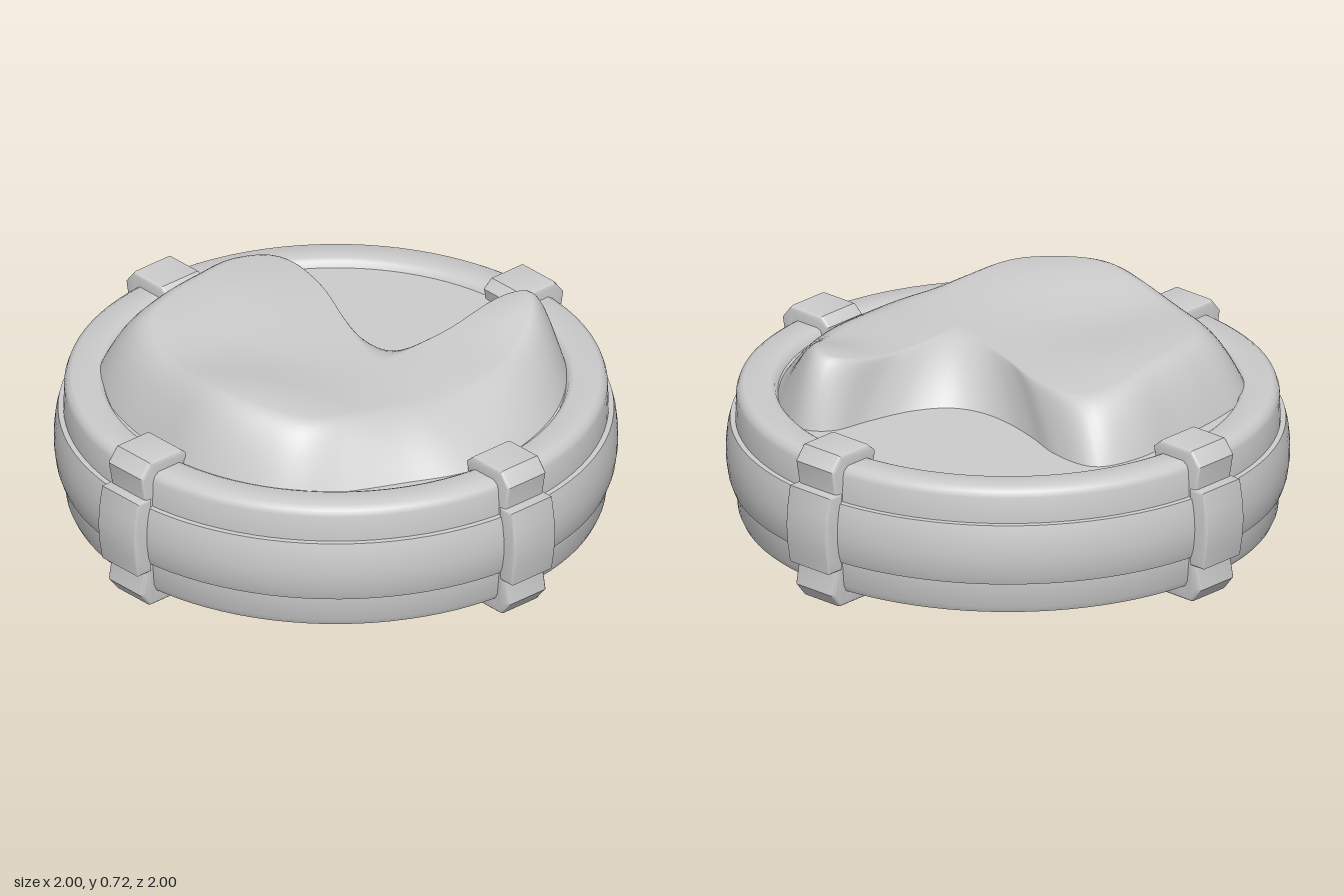
import * as THREE from 'three';
import { mergeVertices, toCreasedNormals } from 'three/addons/utils/BufferGeometryUtils.js';

const material = new THREE.MeshStandardMaterial({ color: 0xcccccc });

function addMesh(parent, name, geometry) {
  const mesh = new THREE.Mesh(geometry, material);
  mesh.name = name;
  parent.add(mesh);
  return mesh;
}

// Revolved profile of [radius, y] points, listed from bottom to top
function lathe(points) {
  const geo = new THREE.LatheGeometry(points.map(([r, y]) => new THREE.Vector2(r, y)), 96);
  return toCreasedNormals(geo, 0.75);
}

// Side profile of [radius, y] points, extruded to a bevelled strip
function strip(points, width, bevel) {
  const shape = new THREE.Shape(points.map(([r, y]) => new THREE.Vector2(r, y)));
  const geo = new THREE.ExtrudeGeometry(shape, {
    depth: width - 2 * bevel, bevelEnabled: true, bevelThickness: bevel,
    bevelSize: bevel, bevelOffset: -bevel, bevelSegments: 3,
  });
  geo.translate(0, 0, bevel - width / 2);
  return toCreasedNormals(geo, 0.6);
}

// Height of the soft mound's upper surface: a low sheet with a few swellings
function moundTop(x, z) {
  const swell = (cx, cz, size, h) =>
    h * Math.exp(-((x - cx) ** 2 + (z - cz) ** 2) / (size * size));
  return 0.655 + swell(0.1, 0.62, 0.3, 0.07) + swell(-0.5, 0.12, 0.35, 0.055)
    + swell(0.33, -0.62, 0.2, 0.075) + swell(-0.45, 0.5, 0.25, 0.03)
    + swell(0.4, 0.45, 0.25, 0.025) - swell(0.75, 0, 0.25, 0.03);
}

// Lobed mound: the outline is shrunk in rings towards an inner point
function moundGeometry() {
  // x, z and width of the sloping edge
  const outline = [
    [-0.70, -0.25, 0.2], [-0.65, -0.3, 0.24], [-0.5, -0.3, 0.3], [-0.35, -0.25, 0.34],
    [-0.2, -0.215, 0.34], [-0.07, -0.215, 0.32], [0.03, -0.26, 0.32], [0.11, -0.37, 0.32],
    [0.16, -0.52, 0.28], [0.2, -0.67, 0.16], [0.28, -0.72, 0.12], [0.42, -0.67, 0.16],
    [0.58, -0.53, 0.24], [0.7, -0.35, 0.28], [0.78, -0.1, 0.3], [0.77, 0.1, 0.28],
    [0.68, 0.3, 0.24], [0.58, 0.5, 0.22], [0.47, 0.66, 0.2], [0.3, 0.75, 0.2],
    [0.1, 0.79, 0.2], [-0.1, 0.76, 0.2], [-0.35, 0.7, 0.22], [-0.55, 0.6, 0.22],
    [-0.64, 0.5, 0.2], [-0.69, 0.3, 0.18], [-0.71, 0.1, 0.17], [-0.73, -0.1, 0.17],
  ];
  const curve = new THREE.CatmullRomCurve3(
    outline.map(([x, z, w]) => new THREE.Vector3(x, w, z)), true);
  const count = 160, slope = 12, inner = 12, base = 0.46;
  const cx = 0.3, cz = 0.1;
  const ringPoints = curve.getSpacedPoints(count).slice(0, count);
  const positions = [], indices = [];
  for (let i = 0; i <= slope + inner; i++) {
    const u = Math.min(i / slope, 1);
    const shrink = 1 - Math.max(0, i - slope) / inner;
    for (const p of ringPoints) {
      const radius = Math.hypot(p.x - cx, p.z - cz);
      const s = (1 - p.y * u / radius) * shrink;
      const x = cx + (p.x - cx) * s, z = cz + (p.z - cz) * s;
      positions.push(x, base + (moundTop(x, z) - base) * u * (2 - u), z);
    }
  }
  for (let i = 0; i < slope + inner; i++) {
    for (let j = 0; j < count; j++) {
      const k = (j + 1) % count;
      const a = i * count + j, b = i * count + k, c = a + count, d = b + count;
      indices.push(a, c, b);
      if (i < slope + inner - 1) indices.push(b, c, d);
    }
  }
  let geo = new THREE.BufferGeometry();
  geo.setAttribute('position', new THREE.Float32BufferAttribute(positions, 3));
  geo.setIndex(indices);
  geo = mergeVertices(geo, 1e-5);
  geo.computeVertexNormals();
  return geo;
}

export function createModel() {
  const model = new THREE.Group();
  model.name = 'clampedDish';

  // Round body with a shallow recess above and below
  addMesh(model, 'body', lathe([
    [0, 0.075], [0.77, 0.075], [0.775, 0.06], [0.79, 0.05], [0.88, 0.05], [0.9, 0.058],
    [0.91, 0.08], [0.918, 0.17], [0.918, 0.39], [0.915, 0.48], [0.908, 0.5], [0.89, 0.512],
    [0.8, 0.512], [0.785, 0.505], [0.775, 0.485], [0, 0.485],
  ]));

  // Bulging belt around the body
  addMesh(model, 'belt', lathe([
    [0.9, 0.17], [0.932, 0.172], [0.942, 0.2], [0.949, 0.25], [0.95, 0.28],
    [0.949, 0.31], [0.944, 0.355], [0.936, 0.388], [0.9, 0.39],
  ]));

  addMesh(model, 'mound', moundGeometry());

  // Four clamps gripping the rim, each with a thicker outer plate
  const jaw = strip([
    [0.755, 0.475], [0.745, 0.525], [0.78, 0.555], [0.92, 0.555], [0.96, 0.505],
    [0.942, 0.41], [0.942, 0.15], [0.96, 0.055], [0.92, 0.005], [0.78, 0.005],
    [0.745, 0.035], [0.755, 0.085], [0.86, 0.085], [0.86, 0.475],
  ], 0.175, 0.012);
  const plate = strip([
    [0.92, 0.142], [0.982, 0.142], [0.994, 0.21], [1, 0.28], [0.994, 0.35],
    [0.982, 0.42], [0.92, 0.42],
  ], 0.187, 0.008);
  for (let i = 0; i < 4; i++) {
    const clamp = new THREE.Group();
    clamp.name = 'clamp';
    addMesh(clamp, 'clampJaw', jaw);
    addMesh(clamp, 'clampPlate', plate);
    clamp.rotation.y = i * Math.PI / 2;
    model.add(clamp);
  }
  return model;
}
